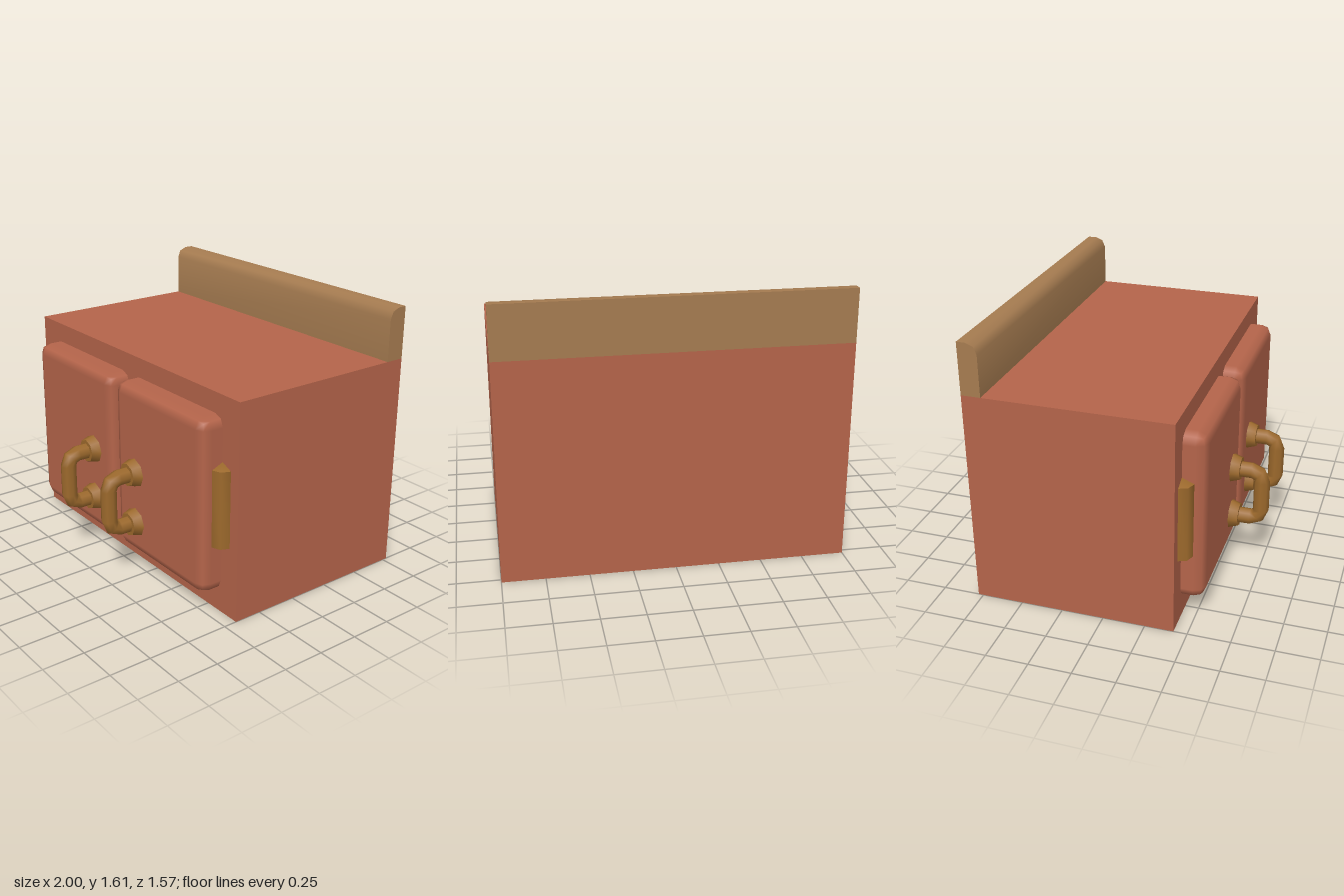
import * as THREE from 'three';
import { toCreasedNormals } from 'three/addons/utils/BufferGeometryUtils.js';
import { RoundedBoxGeometry } from 'three/addons/geometries/RoundedBoxGeometry.js';

const material = (name, color) => {
  const m = new THREE.MeshStandardMaterial({ color });
  m.name = name;
  return m;
};

// Handle path: two arms joined by quarter bends, each bend cut in two segments
class HandlePath extends THREE.Curve {
  constructor(halfHeight, reach, bend) {
    super();
    const z = reach - bend, y = halfHeight - bend;
    this.stops = [{ p: [0, halfHeight, 0], a: 0 }];
    for (const [cy, from] of [[y, 0], [-y, 2]]) {
      for (let i = 0; i <= 2; i++) {
        const a = (from + i) * Math.PI / 4;
        this.stops.push({ p: [0, cy + bend * Math.cos(a), z + bend * Math.sin(a)], a });
      }
    }
    this.stops.push({ p: [0, -halfHeight, 0], a: Math.PI });
  }
  stop(u) { return this.stops[Math.round(u * (this.stops.length - 1))]; }
  getPoint(u, target = new THREE.Vector3()) { return target.set(...this.stop(u).p); }
  getPointAt(u, target) { return this.getPoint(u, target); }
  getTangentAt(u, target = new THREE.Vector3()) {
    const { a } = this.stop(u);
    return target.set(0, -Math.sin(a), Math.cos(a));
  }
}

export function createModel() {
  const group = new THREE.Group();
  group.name = 'cabinet';
  const paint = material('terracotta paint', 0xb4644a);
  const wood = material('tan wood', 0xa57b50);
  const brass = material('dark brass', 0x9c692c);

  const add = (name, geometry, mat, x = 0, y = 0, z = 0) => {
    const mesh = new THREE.Mesh(geometry, mat);
    mesh.name = name;
    mesh.position.set(x, y, z);
    group.add(mesh);
    return mesh;
  };

  // Cabinet box
  add('body', new THREE.BoxGeometry(2, 1.3, 1.2), paint, 0, 0.65, -0.18);

  // Back board with a rounded top front edge, profile drawn in z and y
  const profile = new THREE.Shape();
  profile.moveTo(-0.78, 1.3);
  profile.lineTo(-0.665, 1.3);
  profile.lineTo(-0.665, 1.548);
  profile.lineTo(-0.683, 1.592);
  profile.lineTo(-0.727, 1.61);
  profile.lineTo(-0.78, 1.61);
  const board = new THREE.ExtrudeGeometry(profile, { depth: 2, bevelEnabled: false });
  board.rotateY(-Math.PI / 2);
  board.translate(1, 0, 0);
  add('backBoard', toCreasedNormals(board, 0.9), wood);

  // Shared door hardware shapes
  const doorShape = new RoundedBoxGeometry(0.845, 1.045, 0.3, 1, 0.065);
  const hingeShape = toCreasedNormals(new THREE.LatheGeometry([
    new THREE.Vector2(0, -0.26), new THREE.Vector2(0.07, -0.23),
    new THREE.Vector2(0.07, 0.23), new THREE.Vector2(0, 0.26),
  ], 8), 0.9);
  const rosetteShape = new THREE.CylinderGeometry(0.07, 0.088, 0.055, 8);
  rosetteShape.rotateX(Math.PI / 2);
  const rosette = toCreasedNormals(rosetteShape, 0.9);
  const handleShape = new THREE.TubeGeometry(new HandlePath(0.158, 0.187, 0.062), 7, 0.048, 8);

  for (const [side, s] of [['left', 1], ['right', -1]]) {
    add(side + 'Door', doorShape, paint, s * 0.441, 0.658, 0.405);
    add(side + 'Hinge', hingeShape, brass, s * 0.865, 0.66, 0.42);
    add(side + 'UpperRosette', rosette, brass, s * 0.222, 0.663, 0.5825);
    add(side + 'LowerRosette', rosette, brass, s * 0.222, 0.345, 0.5825);
    add(side + 'Handle', handleShape, brass, s * 0.222, 0.504, 0.55);
  }
  return group;
}
